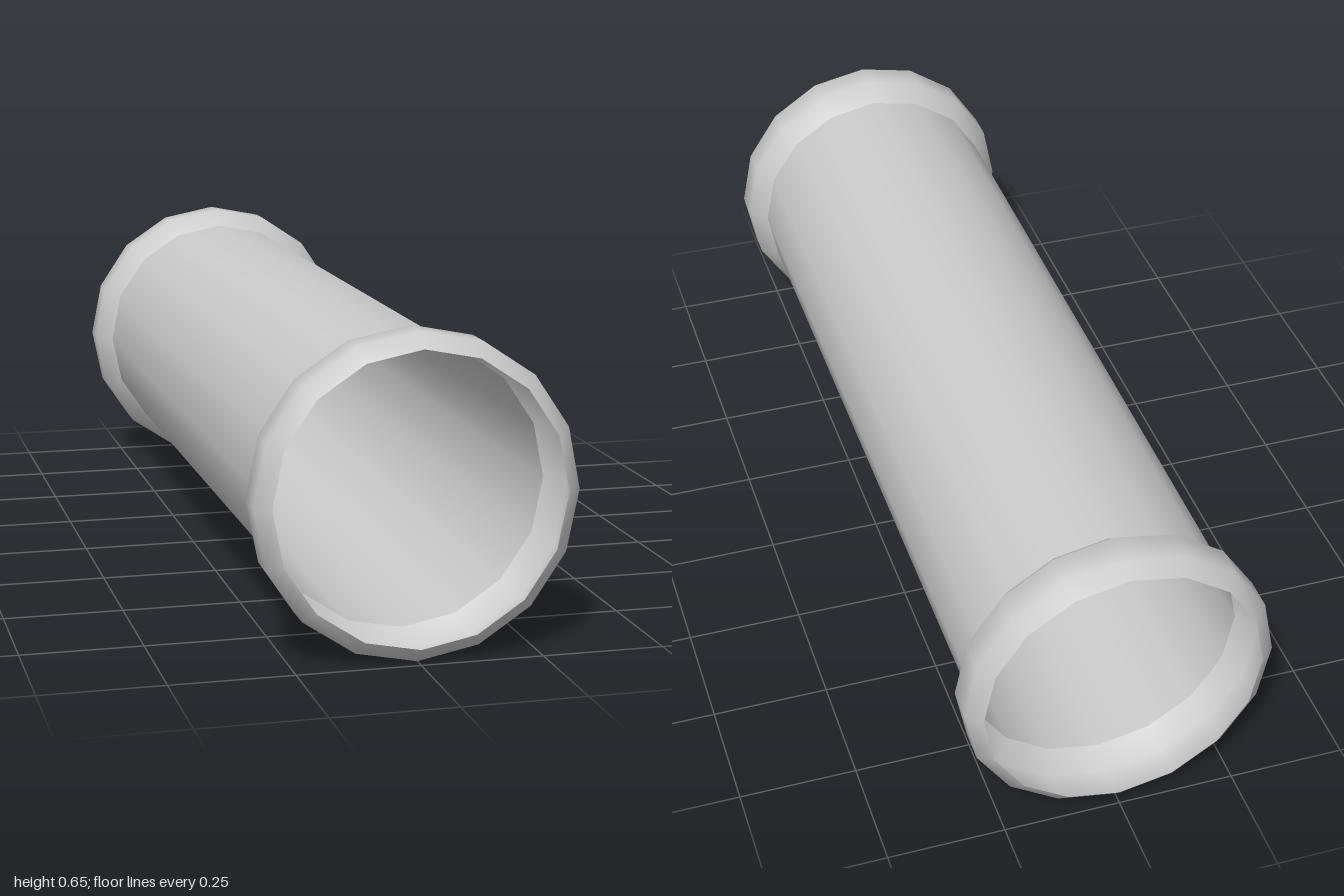
import * as THREE from 'three';

const SIDES = 16;
const AXIS_HEIGHT = 0.327;

// Open shell turned around the z axis from [radius, z] pairs, listed back to front
function turned(name, profile, material) {
  const points = profile.map(([r, z]) => new THREE.Vector2(r, z));
  const geometry = new THREE.LatheGeometry(points, SIDES).rotateX(Math.PI / 2);
  const mesh = new THREE.Mesh(geometry, material);
  mesh.name = name;
  return mesh;
}

export function createModel() {
  const group = new THREE.Group();
  group.name = 'pipe';
  const material = new THREE.MeshStandardMaterial({ color: 0xcccccc, side: THREE.DoubleSide });

  // Straight thin-walled tube between the collars
  group.add(turned('tube', [[0.29, -0.865], [0.29, 0.865]], material));

  // Bulging hollow collar at each end, bevelled on both edges
  const collar = [[0.29, 0.865], [0.327, 0.905], [0.327, 0.973], [0.296, 1]];
  const front = turned('frontCollar', collar, material);
  const back = turned('backCollar', collar, material);
  back.rotation.y = Math.PI;
  group.add(front, back);

  // Rest the collars on the ground
  group.children.forEach((part) => { part.position.y = AXIS_HEIGHT; });
  return group;
}
